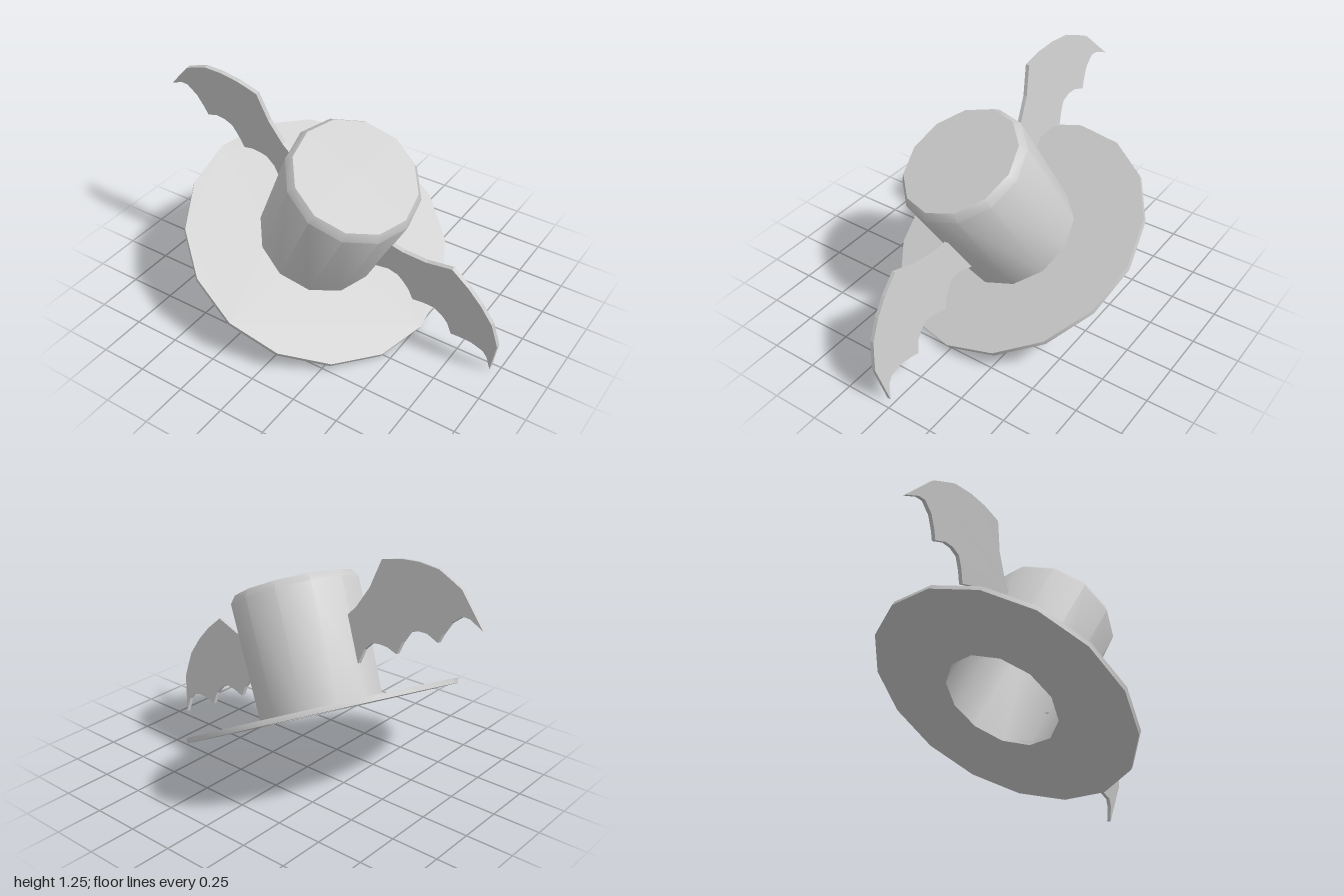
import * as THREE from 'three';
import { toCreasedNormals } from 'three/addons/utils/BufferGeometryUtils.js';

const material = new THREE.MeshStandardMaterial({ color: 0xcccccc });

function part(name, geometry) {
  const mesh = new THREE.Mesh(geometry, material);
  mesh.name = name;
  return mesh;
}

// Regular polygon outline for the brim and its hole
function polygon(radius, sides) {
  return Array.from({ length: sides }, (_, i) => {
    const a = (i / sides) * Math.PI * 2;
    return new THREE.Vector2(radius * Math.cos(a), radius * Math.sin(a));
  });
}

// Hollow crown, slightly flared, with a bevelled top edge
function createCrown() {
  const profile = [
    [0, 0.63], [0.305, 0.63], [0.305, -0.012], [0.327, -0.012],
    [0.345, 0.63], [0.316, 0.67], [0, 0.67],
  ].map(([r, y]) => new THREE.Vector2(r, y));
  return part('crown', toCreasedNormals(new THREE.LatheGeometry(profile, 12), 0.8));
}

// Flat ring brim, open under the crown
function createBrim() {
  const thickness = 0.026;
  const shape = new THREE.Shape(polygon(0.713, 16));
  shape.holes.push(new THREE.Path(polygon(0.305, 12)));
  const geometry = new THREE.ExtrudeGeometry(shape, { depth: thickness, bevelEnabled: false });
  geometry.translate(0, 0, -thickness / 2).rotateX(-Math.PI / 2);
  return part('brim', toCreasedNormals(geometry, 0.6));
}

// Thin bat wing: arched upper edge, scalloped lower edge
function createWing(name, side) {
  const thickness = 0.022;
  const outline = [
    [0.3, 0.425], [0.34, 0.435], [0.4, 0.455], [0.517, 0.526], [0.631, 0.634],
    [0.747, 0.604], [0.847, 0.562], [0.947, 0.5], [1.01, 0.425], [1.044, 0.382], [1.103, 0.178],
    [1.05, 0.245], [1.013, 0.266], [0.942, 0.252], [0.882, 0.214], [0.843, 0.182],
    [0.795, 0.235], [0.747, 0.258], [0.693, 0.263], [0.638, 0.228], [0.585, 0.182],
    [0.54, 0.225], [0.493, 0.25], [0.45, 0.264], [0.392, 0.245], [0.328, 0.183], [0.3, 0.22],
  ].map(([x, y]) => new THREE.Vector2(side * x, y));
  const geometry = new THREE.ExtrudeGeometry(new THREE.Shape(outline), {
    depth: thickness, bevelEnabled: false,
  });
  geometry.translate(0, 0, -thickness / 2);
  return part(name, geometry);
}

export function createModel() {
  const hat = new THREE.Group();
  hat.name = 'wingedTopHat';
  hat.add(createBrim(), createCrown(), createWing('leftWing', 1), createWing('rightWing', -1));

  // Jaunty tilt of the whole hat
  const up = new THREE.Vector3(0.46, 0.865, 0.2).normalize();
  const back = new THREE.Vector3(0.885, -0.465, 0).cross(up).normalize();
  const across = new THREE.Vector3().crossVectors(up, back);
  hat.quaternion.setFromRotationMatrix(new THREE.Matrix4().makeBasis(across, up, back));
  hat.position.set(-0.1, 0.366, 0);

  const model = new THREE.Group();
  model.name = 'model';
  model.add(hat);
  return model;
}
